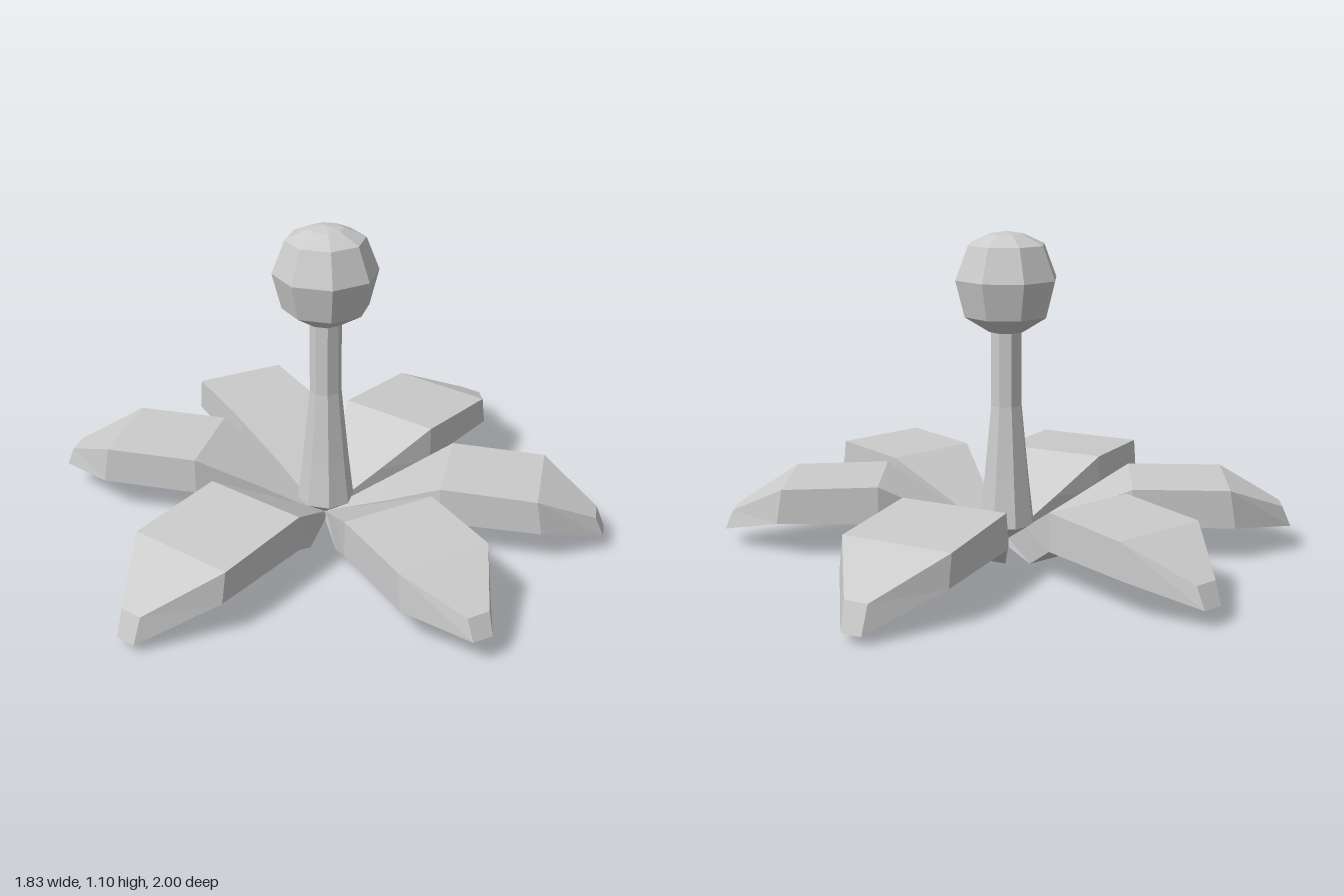
import * as THREE from 'three';

const material = new THREE.MeshStandardMaterial({ color: 0xcccccc, flatShading: true });

// Petal lofted along +z. Stations: [topZ, topY, topHalfWidth, bottomZ, bottomY, bottomHalfWidth]
function petalGeometry(stations) {
  const rings = stations.map(([tz, ty, tw, bz, by, bw]) => [
    [tw, ty, tz], [-tw, ty, tz], [-bw, by, bz], [bw, by, bz],
  ]);
  const pos = [];
  const quad = (a, b, c, d) => pos.push(...a, ...b, ...c, ...a, ...c, ...d);
  for (let s = 0; s < rings.length - 1; s++) {
    for (let i = 0; i < 4; i++) {
      const j = (i + 1) % 4;
      quad(rings[s][i], rings[s][j], rings[s + 1][j], rings[s + 1][i]);
    }
  }
  quad(...rings[0].slice().reverse());
  quad(...rings[rings.length - 1]);
  const geometry = new THREE.BufferGeometry();
  geometry.setAttribute('position', new THREE.Float32BufferAttribute(pos, 3));
  geometry.computeVertexNormals();
  return geometry;
}

// Shared petal shape: knee = first bend, bend = outer bend, tip = end radius
function makePetal(name, degrees, { knee, bend, tip, width, top, bendY, tipTop, tipBottom }) {
  const half = knee / 2;
  const mesh = new THREE.Mesh(petalGeometry([
    [0.03, 0.03, 0.015, 0.0, 0.0, 0.01],
    [half, 0.13, width * 0.52, half + 0.03, 0.012, width * 0.56],
    [knee, top, width, knee, 0.12, width],
    [bend, bendY, width, bend + 0.02, 0.12, width],
    [tip - 0.03, tipTop, 0.04, tip, tipBottom, 0.035],
  ]), material);
  mesh.name = name;
  mesh.rotation.y = THREE.MathUtils.degToRad(degrees);
  return mesh;
}

function lathe(name, points, sides) {
  const mesh = new THREE.Mesh(
    new THREE.LatheGeometry(points.map(([x, y]) => new THREE.Vector2(x, y)), sides), material);
  mesh.name = name;
  return mesh;
}

export function createModel() {
  const model = new THREE.Group();
  model.name = 'flower';

  // Front and back petals
  const long = { knee: 0.385, bend: 0.745, tip: 1, width: 0.19, top: 0.245, bendY: 0.225, tipTop: 0.12, tipBottom: 0.03 };
  model.add(makePetal('frontPetal', 0, long), makePetal('backPetal', 180, long));

  // Side petals, mirrored left and right
  const side = { knee: 0.43, bend: 0.755, tip: 0.98, width: 0.167, top: 0.25, bendY: 0.25 };
  for (const [label, sign] of [['left', 1], ['right', -1]]) {
    model.add(
      makePetal(label + 'FrontPetal', sign * 66.5, { ...side, tipTop: 0.16, tipBottom: 0.09 }),
      makePetal(label + 'BackPetal', sign * 115.5, { ...side, bendY: 0.24, tipTop: 0.13, tipBottom: 0.06 }),
    );
  }

  // Flared stem
  model.add(lathe('stem', [[0, 0.01], [0.1, 0.08], [0.08, 0.25], [0.055, 0.5], [0.055, 0.78]], 8));

  // Faceted ball on top
  model.add(lathe('ball', [
    [0, 0.755], [0.06, 0.755], [0.148, 0.81], [0.18, 0.935], [0.135, 1.05], [0.06, 1.085], [0, 1.095],
  ], 8));

  return model;
}
